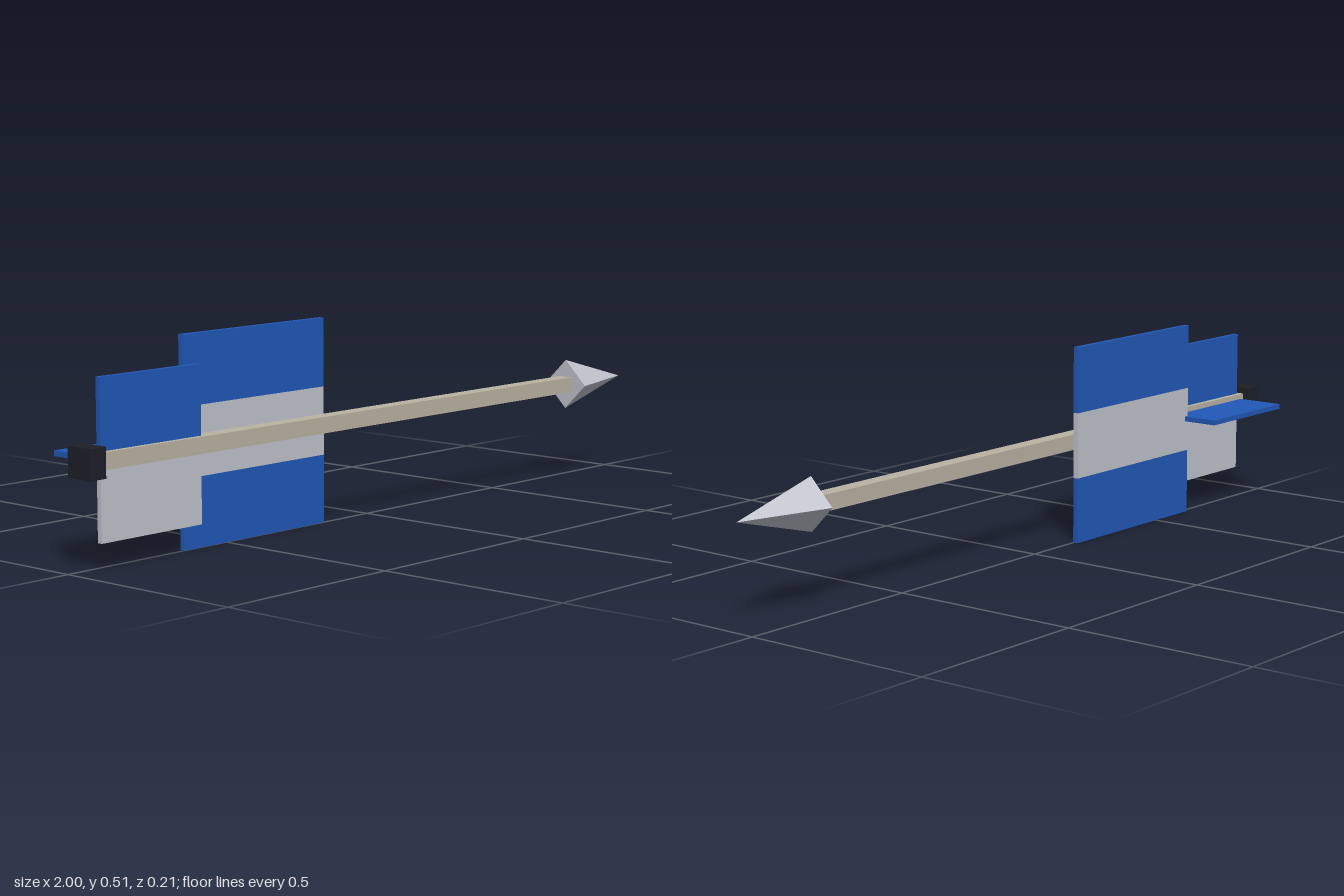
import * as THREE from 'three';

const mat = (name, color, extra = {}) => {
  const m = new THREE.MeshStandardMaterial({ color, ...extra });
  m.name = name;
  return m;
};

export function createModel() {
  const group = new THREE.Group();
  const wood = mat('wood', 0xb9b3a2);
  const blue = mat('blue', 0x2058b8);
  const silver = mat('silver', 0xc0c3cc, { flatShading: true });
  const black = mat('black', 0x1e1e28);

  const Y = 0.255, Z = 0.042; // shaft axis

  // Box given by its lower and upper limits on each axis
  const box = (name, material, [x0, x1], [y0, y1], [z0, z1]) => {
    const geo = new THREE.BoxGeometry(x1 - x0, y1 - y0, z1 - z0);
    const mesh = new THREE.Mesh(geo, material);
    mesh.position.set((x0 + x1) / 2, (y0 + y1) / 2, (z0 + z1) / 2);
    mesh.name = name;
    group.add(mesh);
  };

  // Square shaft and nock
  box('shaft', wood, [-0.955, 0.77], [Y - 0.02, Y + 0.02], [Z - 0.02, Z + 0.02]);
  box('nock', black, [-1, -0.952], [Y - 0.036, Y + 0.036], [Z - 0.036, Z + 0.036]);

  // Four-sided pointed head
  const head = new THREE.Mesh(new THREE.ConeGeometry(0.0655, 0.24, 4), silver);
  head.rotation.z = -Math.PI / 2;
  head.position.set(0.88, Y, Z);
  head.name = 'head';
  group.add(head);

  // Tail fins
  const tailX = [-0.941, -0.628];
  const tailZ = [Z - 0.0065, Z + 0.0065];
  box('upperTailFin', blue, tailX, [Y, 0.442], tailZ);
  box('lowerTailFin', silver, tailX, [0.067, Y], tailZ);
  box('backTailFin', blue, tailX, [Y - 0.0065, Y + 0.0065], [-0.107, Z]);

  // Striped panel beside the shaft
  const panelX = [-0.639, -0.16], panelZ = [-0.0125, 0.0015];
  box('panelBottom', blue, panelX, [0, 0.169], panelZ);
  box('panelMiddle', silver, panelX, [0.169, 0.338], panelZ);
  box('panelTop', blue, panelX, [0.338, 0.507], panelZ);

  return group;
}
